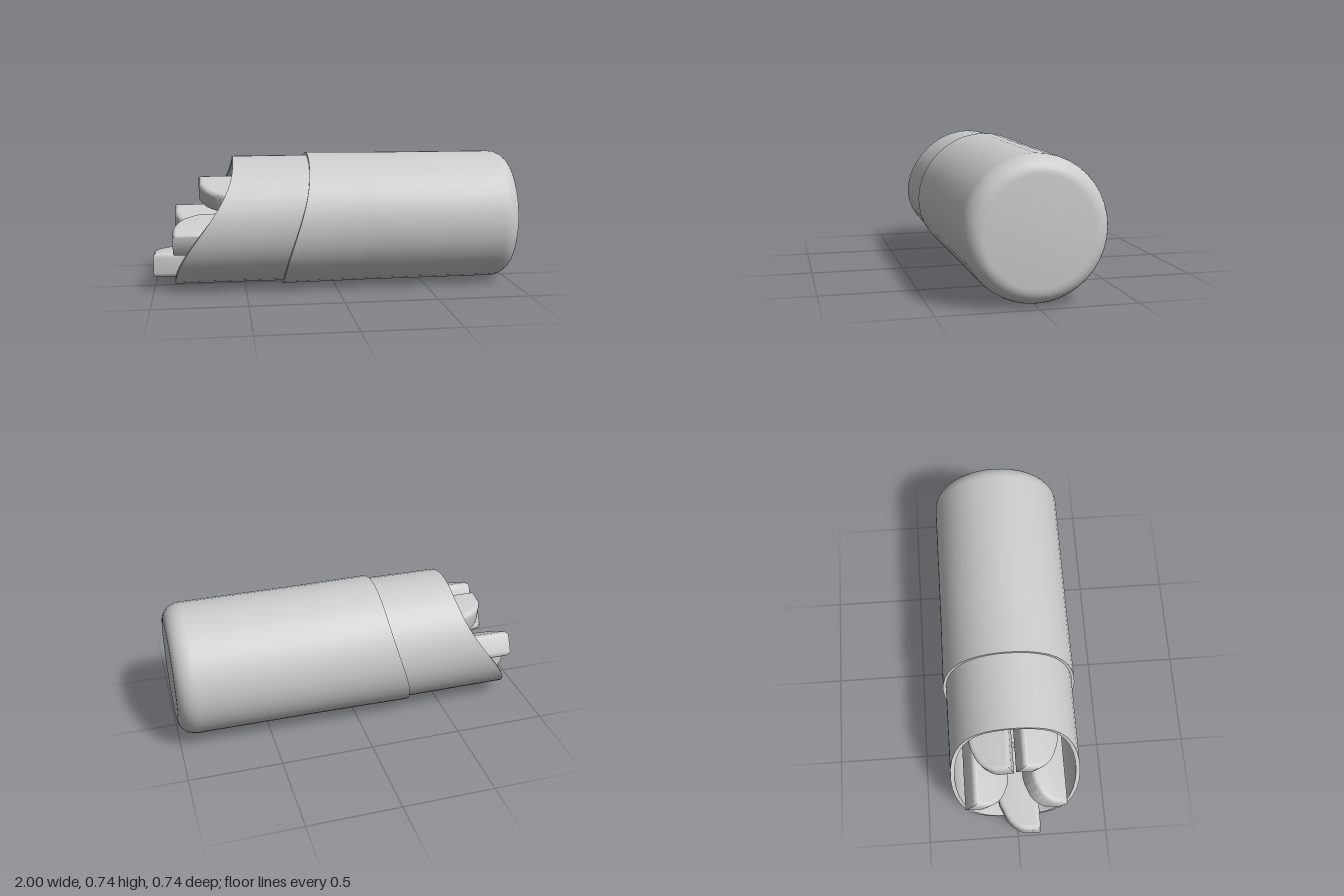
import * as THREE from 'three';
import { toCreasedNormals } from 'three/addons/utils/BufferGeometryUtils.js';

const AXIS_Y = 0.368;
const material = new THREE.MeshStandardMaterial({ color: 0xcccccc, side: THREE.DoubleSide });

// Turned part along x from [x, radius] points; points left of `limit` form an S-slanted rim.
function turned(name, profile, limit = -Infinity, amp = 0) {
  const geo = new THREE.LatheGeometry(profile.map(([x, r]) => new THREE.Vector2(r, x)), 40);
  geo.rotateZ(-Math.PI / 2);
  const p = geo.attributes.position;
  for (let i = 0; i < p.count; i++) {
    if (p.getX(i) > limit) continue;
    const r = Math.hypot(p.getY(i), p.getZ(i));
    p.setX(i, p.getX(i) + amp * Math.sin((Math.PI / 2) * p.getY(i) / r));
  }
  const mesh = new THREE.Mesh(toCreasedNormals(geo, 0.6), material);
  mesh.name = name;
  mesh.position.y = AXIS_Y;
  return mesh;
}

// Rounded bar along x with a chisel tip; `angle` is where its high side points in the z-y plane.
function bar({ tip, y, z, w, h, angle, drop }) {
  const bevel = 0.025, a = w / 2 - bevel, top = -tip - bevel, base = 0.3;
  const shape = new THREE.Shape();
  shape.moveTo(-a, base);
  shape.lineTo(a, base);
  shape.lineTo(a, top);
  shape.lineTo(a - 0.25 * w, top);
  shape.quadraticCurveTo(-0.2 * w, top - 0.25 * drop, -a + 0.02, top - drop);
  shape.quadraticCurveTo(-a, top - drop - 0.03, -a, top - drop - 0.08);
  shape.closePath();
  const depth = h - 2 * bevel;
  const geo = new THREE.ExtrudeGeometry(shape, {
    depth, bevelThickness: bevel, bevelSize: bevel, bevelSegments: 4, curveSegments: 8,
  });
  geo.translate(0, 0, -depth / 2);
  const s = Math.sin(angle), c = Math.cos(angle);
  geo.applyMatrix4(new THREE.Matrix4().makeBasis(
    new THREE.Vector3(0, s, c), new THREE.Vector3(-1, 0, 0), new THREE.Vector3(0, -c, s)));
  const mesh = new THREE.Mesh(toCreasedNormals(geo, 0.7), material);
  mesh.position.set(0, y, z);
  return mesh;
}

export function createModel() {
  const group = new THREE.Group();

  // Outer sleeve: thin slanted rim, slight taper, rounded closed end
  const sleeve = [[-0.222, 0.35], [-0.222, 0.368], [0.2, 0.363], [0.9, 0.361]];
  for (let i = 1; i <= 8; i++) {
    const t = (i / 8) * Math.PI / 2;
    sleeve.push([0.9 + 0.1 * Math.sin(t), 0.271 + 0.09 * Math.cos(t)]);
  }
  sleeve.push([1, 0]);
  group.add(turned('outerSleeve', sleeve, -0.1, 0.073));

  // Inner tube with thick wall and slanted mouth
  group.add(turned('innerTube',
    [[0.1, 0.33], [-0.722, 0.33], [-0.722, 0.352], [0.1, 0.352]], -0.5, 0.163));

  // Floor and short core behind the bars
  group.add(turned('tubeFloor', [[-0.32, 0], [-0.32, 0.331]]));
  group.add(turned('core', [[-0.56, 0], [-0.56, 0.06], [-0.32, 0.06]]));

  // Five chisel-tipped bars stepping back towards the top
  const rad = Math.PI / 180;
  const bars = new THREE.Group();
  bars.name = 'bars';
  [
    ['bottomBar', { tip: -1, y: 0.14, z: 0.01, w: 0.225, h: 0.14, angle: 0, drop: 0.11 }],
    ['leftLowerBar', { tip: -0.888, y: 0.315, z: 0.155, w: 0.21, h: 0.14, angle: -28 * rad, drop: 0.08 }],
    ['rightLowerBar', { tip: -0.888, y: 0.315, z: -0.16, w: 0.22, h: 0.14, angle: 152 * rad, drop: 0.08 }],
    ['leftUpperBar', { tip: -0.745, y: 0.525, z: 0.118, w: 0.22, h: 0.12, angle: 155 * rad, drop: 0.09 }],
    ['rightUpperBar', { tip: -0.745, y: 0.525, z: -0.125, w: 0.22, h: 0.13, angle: 10 * rad, drop: 0.09 }],
  ].forEach(([name, spec]) => {
    const mesh = bar(spec);
    mesh.name = name;
    bars.add(mesh);
  });
  group.add(bars);
  return group;
}
